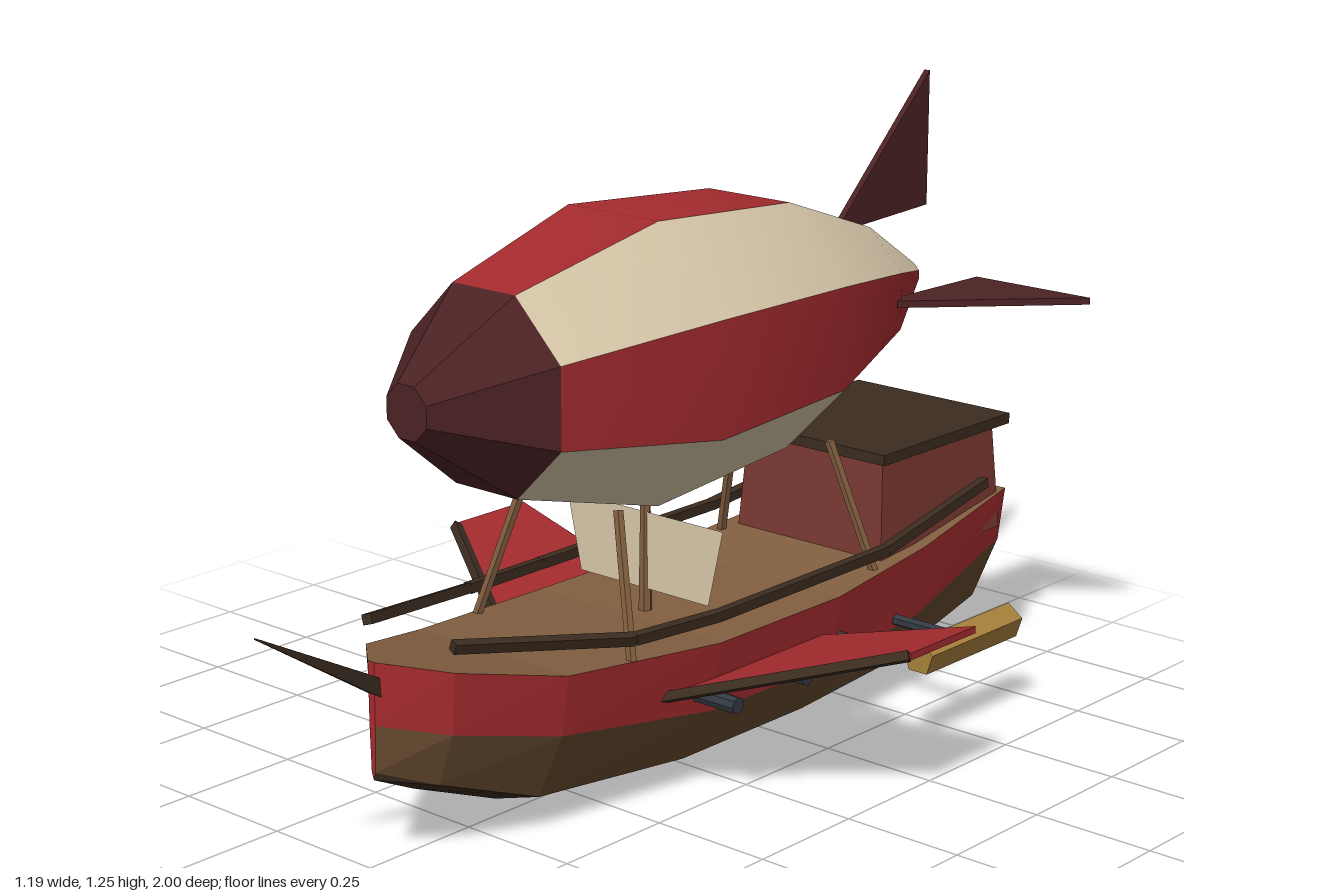
import * as THREE from 'three';

const paint = (name, color) => {
  const m = new THREE.MeshStandardMaterial({ color });
  m.name = name;
  return m;
};

export function createModel() {
  const red = paint('red', 0xa52b2e);
  const cream = paint('cream', 0xd8c8aa);
  const maroon = paint('maroon', 0x4c2224);
  const hullBrown = paint('hull brown', 0x664a2f);
  const darkWood = paint('dark wood', 0x3b2c20);
  const deckWood = paint('deck wood', 0x825f40);
  const cabinRed = paint('cabin red', 0x7a3831);
  const gold = paint('gold', 0xa8823c);
  const iron = paint('iron', 0x343a42);
  const canvas = cream.clone();
  canvas.name = 'sail cream';
  canvas.side = THREE.DoubleSide;

  const model = new THREE.Group();
  model.name = 'airship';
  const V = (x, y, z) => new THREE.Vector3(x, y, z);

  const add = (name, geo, mat, parent = model) => {
    const mesh = new THREE.Mesh(geo, mat);
    mesh.name = name;
    parent.add(mesh);
    return mesh;
  };
  const flat = (geo) => {
    const g = geo.index ? geo.toNonIndexed() : geo;
    g.computeVertexNormals();
    return g;
  };
  // Surface between two polylines
  const strip = (a, b) => {
    const pts = [], idx = [];
    a.forEach((p, i) => {
      pts.push(p, b[i]);
      const k = i * 2;
      if (i < a.length - 1) idx.push(k, k + 1, k + 2, k + 2, k + 1, k + 3);
    });
    const g = new THREE.BufferGeometry().setFromPoints(pts);
    g.setIndex(idx);
    g.computeVertexNormals();
    return g;
  };
  // Straight tapered bar from a to b
  const rod = (name, a, b, r0, r1, sides, mat) => {
    const d = b.clone().sub(a);
    const g = new THREE.CylinderGeometry(r1, r0, d.length(), sides);
    if (sides <= 6) g.rotateY(Math.PI / sides);
    const mesh = add(name, flat(g), mat);
    mesh.position.copy(a).add(b).multiplyScalar(0.5);
    mesh.quaternion.setFromUnitVectors(V(0, 1, 0), d.normalize());
    return mesh;
  };
  // Flat plate with its outline given as [z, y]
  const plate = (outline, t) => {
    const shape = new THREE.Shape(outline.map(([z, y]) => new THREE.Vector2(z, y)));
    const g = new THREE.ExtrudeGeometry(shape, { depth: t, bevelEnabled: false });
    return g.translate(0, 0, -t / 2).rotateY(-Math.PI / 2);
  };

  // Hull stations: z, half width, sheer, red edge, chine, keel
  const stations = [
    [0.735, 0.008, 0.39, 0.27, 0.18, 0.165],
    [0.64, 0.115, 0.37, 0.25, 0.145, 0.12],
    [0.43, 0.19, 0.325, 0.205, 0.07, 0.035],
    [0.06, 0.235, 0.3, 0.16, 0.042, 0.004],
    [-0.3, 0.235, 0.3, 0.155, 0.042, 0],
    [-0.6, 0.215, 0.325, 0.175, 0.055, 0.02],
    [-0.91, 0.19, 0.375, 0.26, 0.12, 0.1],
  ];
  const rings = stations.map(([z, w, top, mid, low, keel]) => [
    V(-w, top, z), V(w, top, z), V(w * 0.92, mid, z), V(w * 0.6, low, z),
    V(0, keel, z), V(-w * 0.6, low, z), V(-w * 0.92, mid, z),
  ]);
  const hull = new THREE.Group();
  hull.name = 'hull';
  model.add(hull);
  [['deck', deckWood], ['leftTopside', red], ['leftPlanking', hullBrown], ['leftBottom', darkWood],
    ['rightBottom', darkWood], ['rightPlanking', hullBrown], ['rightTopside', red]].forEach(([name, mat], i) => {
    add(name, flat(strip(rings.map((r) => r[i]), rings.map((r) => r[(i + 1) % 7]))), mat, hull);
  });
  const stern = [...rings[6], rings[6][0]];
  add('transom', strip(stern.map(() => V(0, 0.25, -0.91)), stern), darkWood, hull);
  const bow = [...rings[0], rings[0][0]];
  add('stem', strip(bow, bow.map(() => V(0, 0.28, 0.735))), red, hull);

  rod('bowsprit', V(0, 0.28, 0.62), V(0, 0.503, 1), 0.03, 0.002, 4, darkWood);
  add('rudder', plate([[-0.9, 0.275], [-0.925, 0.265], [-0.962, 0.235], [-1, 0.115], [-0.98, 0.06], [-0.9, 0.09]], 0.02), darkWood);

  // Tapered stern cabin and its roof
  const cabin = new THREE.BoxGeometry(0.35, 0.23, 0.37);
  const cp = cabin.attributes.position;
  for (let i = 0; i < cp.count; i++) {
    if (cp.getY(i) < 0) cp.setXYZ(i, cp.getX(i) * 1.08, cp.getY(i), cp.getZ(i) * 1.09);
  }
  add('cabin', flat(cabin), cabinRed).position.set(0, 0.41, -0.69);
  add('cabinRoof', new THREE.BoxGeometry(0.4, 0.022, 0.425), darkWood).position.set(0, 0.531, -0.69);

  // Mast and small sail
  rod('mast', V(0, 0.29, 0.01), V(0, 0.55, 0.01), 0.014, 0.01, 6, deckWood);
  add('sail', strip([V(-0.2, 0.5, 0.015), V(0.2, 0.5, 0.015)], [V(-0.165, 0.345, 0.015), V(0.165, 0.345, 0.015)]), canvas);

  // Balloon: z and apothem of each eight-sided ring
  const cy = 0.825;
  const ringAt = ([z, ap]) => Array.from({ length: 9 }, (_, i) => {
    const a = Math.PI * (5 / 8 - i / 4), r = ap / Math.cos(Math.PI / 8);
    return V(Math.cos(a) * r, cy + Math.sin(a) * r, z);
  });
  const body = [[0.635, 0.05], [0.44, 0.188], [0.1, 0.272], [-0.29, 0.245], [-0.6, 0.14], [-0.815, 0.022]].map(ringAt);
  const balloon = new THREE.Group();
  balloon.name = 'balloon';
  model.add(balloon);
  for (let i = 0; i < 8; i++) {
    const side = body.slice(1);
    add('balloonPanel', strip(side.map((r) => r[i]), side.map((r) => r[i + 1])), i % 2 ? cream : red, balloon);
  }
  add('noseCone', flat(strip(body[0], body[1]).clone()), maroon, balloon).visible = true;
  balloon.children.at(-1).geometry = (() => {
    // Nose facets run front to back, like the panels
    const g = strip(body[1], body[0]);
    return flat(g);
  })();
  add('noseCap', strip(body[0], body[0].map(() => V(0, cy, 0.635))), maroon, balloon);
  add('tailCap', strip(body[5].map(() => V(0, cy, -0.815)), body[5]), maroon, balloon);

  // Tail fins: one upright, two level
  [0, -1, 1].forEach((turn) => {
    const fin = add('tailFin', plate([[-0.575, 0.15], [-0.855, 0.42], [-0.855, 0.14], [-0.62, 0.13]], 0.014), maroon, balloon);
    fin.position.y = cy;
    fin.rotation.z = turn * Math.PI / 2;
  });

  for (const s of [1, -1]) {
    const side = s > 0 ? 'left' : 'right';
    // Rail along the sheer
    const rail = [V(0.11, 0.418, 0.64), V(0.215, 0.362, 0.28), V(0.232, 0.355, 0.06),
      V(0.23, 0.358, -0.45), V(0.2, 0.41, -0.82)].map((p) => p.setX(p.x * s));
    for (let i = 0; i < rail.length - 1; i++) rod(side + 'Rail', rail[i], rail[i + 1], 0.014, 0.014, 4, darkWood);

    // Balloon struts
    for (const [z0, z1] of [[0.27, 0.22], [-0.45, -0.4]]) {
      rod(side + 'Strut', V(0.2 * s, 0.31, z0), V(0.122 * s, 0.575, z1), 0.01, 0.01, 5, deckWood);
    }

    // Raised wing with a dark leading spar
    const shape = new THREE.Shape([[0.2, 0.19], [0.59, -0.06], [0.59, -0.26], [0.2, -0.26]]
      .map(([x, z]) => new THREE.Vector2(x * s, z)));
    const wing = new THREE.ExtrudeGeometry(shape, { depth: 0.014, bevelEnabled: false }).rotateX(Math.PI / 2);
    const wp = wing.attributes.position;
    for (let i = 0; i < wp.count; i++) wp.setY(i, wp.getY(i) + 0.222 + (Math.abs(wp.getX(i)) - 0.2) * 0.285);
    add(side + 'Wing', flat(wing), red);
    rod(side + 'WingSpar', V(0.2 * s, 0.217, 0.185), V(0.588 * s, 0.328, -0.058), 0.013, 0.013, 4, darkWood);

    // Guns
    for (const z of [0.1, -0.105, -0.315]) {
      rod(side + 'Gun', V(0.18 * s, 0.205, z), V(0.313 * s, 0.205, z), 0.017, 0.017, 8, iron);
    }

    // Engine pod on its axle
    rod(side + 'Axle', V(0.17 * s, 0.188, -0.52), V(0.36 * s, 0.188, -0.52), 0.012, 0.012, 6, iron);
    rod(side + 'EnginePod', V(0.376 * s, 0.188, -0.67), V(0.376 * s, 0.188, -0.37), 0.037, 0.037, 5, gold);
  }
  return model;
}
